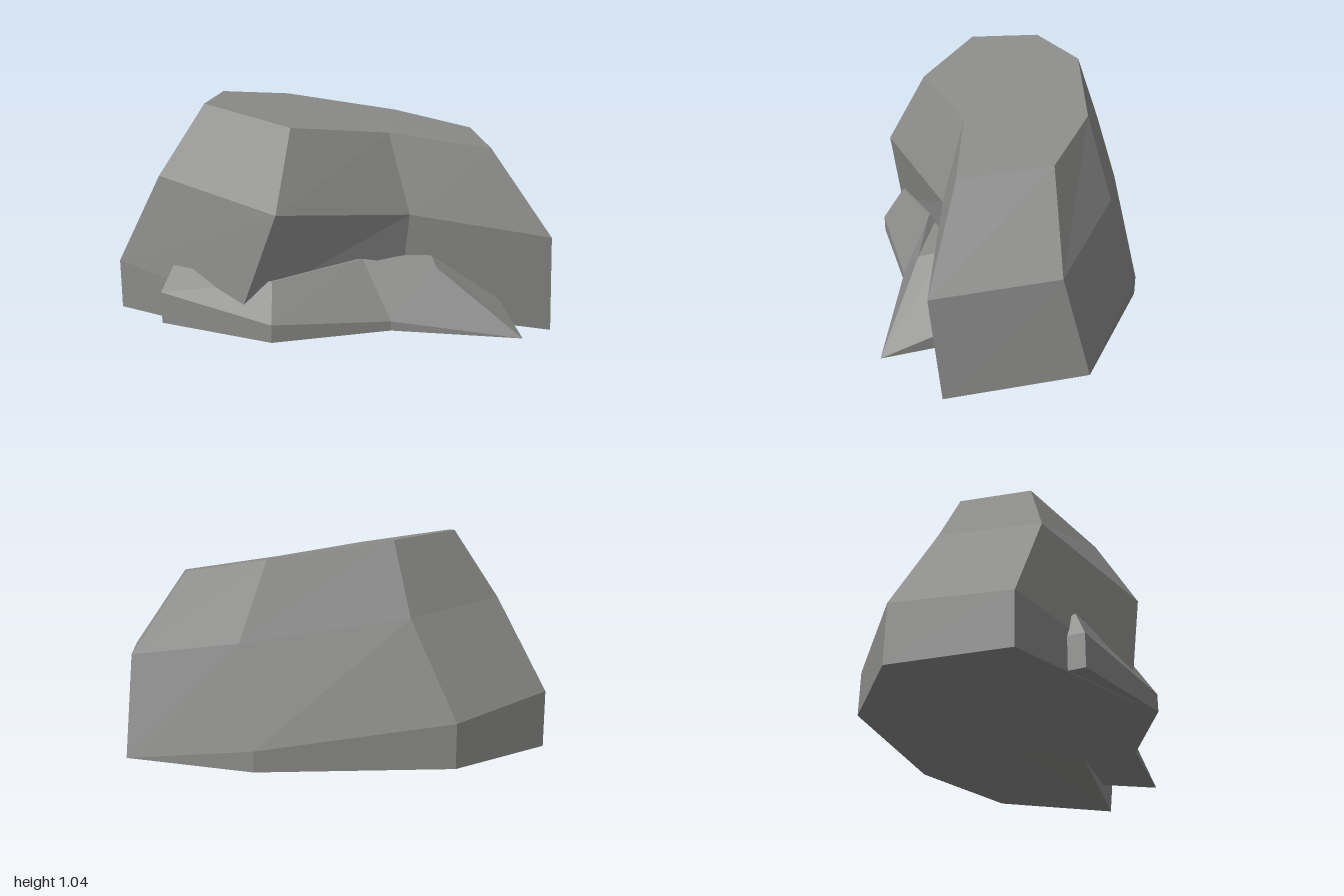
import * as THREE from 'three';

// Lofts closed rings (listed top to bottom, clockwise seen from above) and caps both ends.
function loftRock(name, rings, material) {
  const pos = [];
  const tri = (...pts) => pts.forEach((p) => pos.push(...p));
  const centre = (ring) => [0, 1, 2].map((k) => ring.reduce((s, p) => s + p[k], 0) / ring.length);
  const n = rings[0].length;
  const top = rings[0];
  const base = rings[rings.length - 1];
  const topMid = centre(top);
  const baseMid = centre(base);
  for (let i = 0; i < n; i++) {
    const j = (i + 1) % n;
    for (let r = 0; r < rings.length - 1; r++) {
      const [a, b] = [rings[r], rings[r + 1]];
      tri(a[i], a[j], b[j]);
      tri(a[i], b[j], b[i]);
    }
    tri(topMid, top[j], top[i]);
    tri(baseMid, base[i], base[j]);
  }
  const geometry = new THREE.BufferGeometry();
  geometry.setAttribute('position', new THREE.Float32BufferAttribute(pos, 3));
  geometry.computeVertexNormals();
  const mesh = new THREE.Mesh(geometry, material);
  mesh.name = name;
  return mesh;
}

// Drops a ring straight down to the ground level, keeping points already below it.
const dropTo = (ring, y) => ring.map((p) => [p[0], Math.min(p[1], y), p[2]]);

export function createModel() {
  const group = new THREE.Group();
  group.name = 'rockCluster';
  const stone = new THREE.MeshStandardMaterial({ color: 0x8b8c8a, flatShading: true });
  stone.name = 'grey stone';

  // Large boulder: sloping top, shoulder, skirt
  const boulderTop = [
    [-0.58, 1.04, -0.08], [-0.32, 1.01, -0.31], [0.21, 0.93, -0.4], [0.59, 0.865, -0.3],
    [0.7, 0.83, 0.07], [0.25, 0.895, 0.13], [-0.13, 0.945, 0.4], [-0.56, 1.02, 0.25],
  ];
  const boulderShoulder = [
    [-0.78, 0.74, -0.07], [-0.4, 0.69, -0.41], [0.31, 0.59, -0.52], [0.83, 0.5, -0.37],
    [0.98, 0.45, 0.13], [0.36, 0.545, 0.21], [-0.15, 0.61, 0.59], [-0.74, 0.71, 0.37],
  ];
  const boulderSkirt = [
    [-1, 0.33, -0.15], [-0.6, 0.27, -0.51], [0.23, 0.165, -0.65], [0.83, 0.06, -0.49],
    [1, 0, 0.08], [0.31, 0.08, 0.17], [-0.3, 0.2, 0.59], [-0.96, 0.3, 0.35],
  ];
  group.add(loftRock('largeBoulder',
    [boulderTop, boulderShoulder, boulderSkirt, dropTo(boulderSkirt, 0.075)], stone));

  // Low ledge rock leaning against the front
  const ledgeTop = [
    [-0.6, 0.32, 0.25], [0.1, 0.36, 0], [0.46, 0.355, 0.19], [0.49, 0.335, 0.295],
    [0.17, 0.365, 0.325], [-0.18, 0.31, 0.55], [-0.65, 0.33, 0.47],
  ];
  const ledgeSkirt = [
    [-0.68, 0.22, 0.25], [0.1, 0.15, -0.05], [0.76, 0.15, 0.12], [0.87, 0.065, 0.37],
    [0.31, 0.12, 0.42], [-0.16, 0.155, 0.65], [-0.695, 0.22, 0.52],
  ];
  group.add(loftRock('frontLedgeRock', [ledgeTop, ledgeSkirt, dropTo(ledgeSkirt, 0.078)], stone));

  return group;
}
